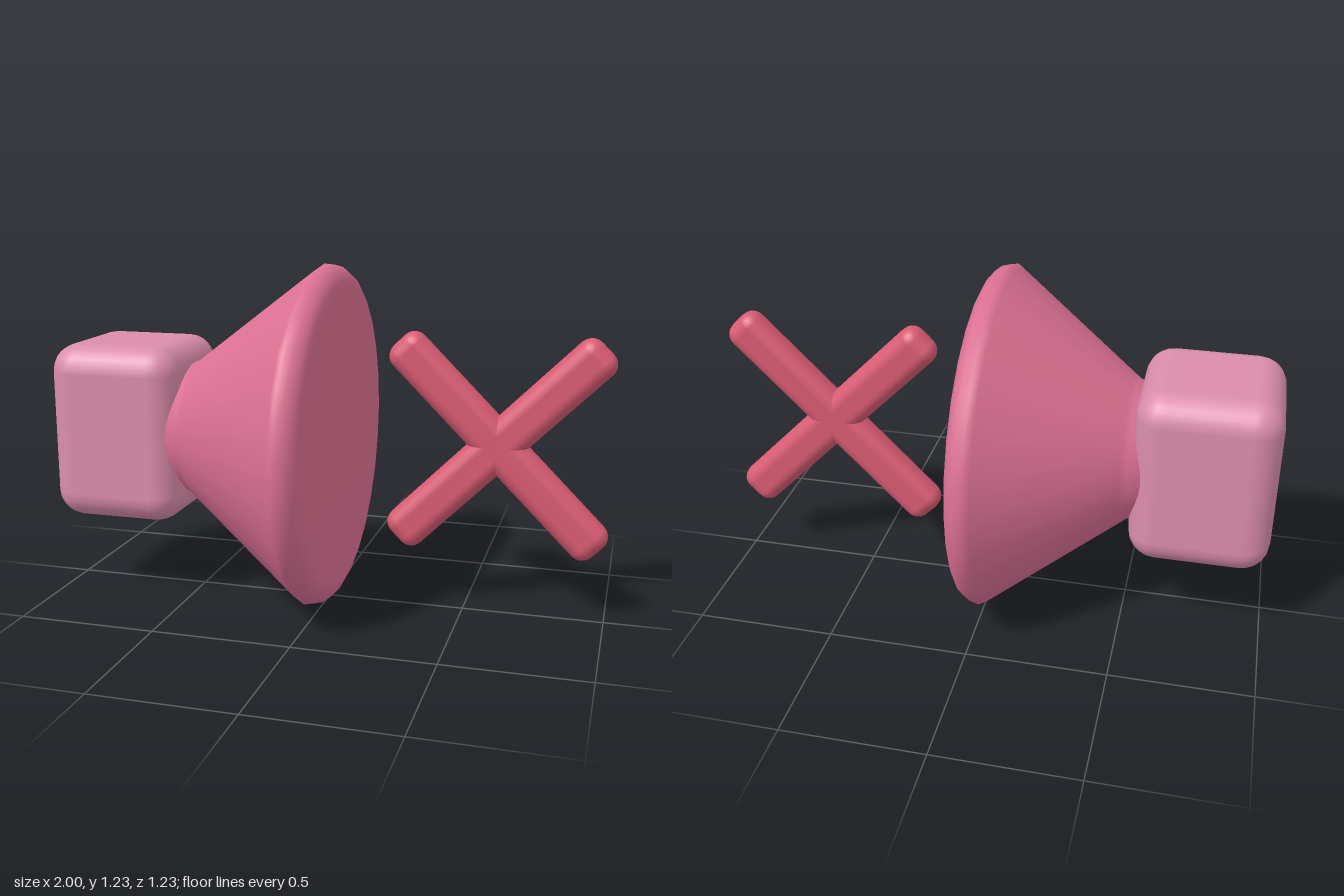
import * as THREE from 'three';
import { RoundedBoxGeometry } from 'three/addons/geometries/RoundedBoxGeometry.js';

const mat = (name, color) => {
  const m = new THREE.MeshStandardMaterial({ color });
  m.name = name;
  return m;
};

export function createModel() {
  const group = new THREE.Group();
  group.name = 'mutedSpeaker';
  const midY = 0.618;

  const add = (name, geometry, material, x) => {
    const mesh = new THREE.Mesh(geometry, material);
    mesh.name = name;
    mesh.position.set(x, midY, 0);
    group.add(mesh);
    return mesh;
  };

  // Rounded block behind the horn
  add('speakerBase', new RoundedBoxGeometry(0.49, 0.644, 0.516, 3, 0.1),
    mat('light pink', 0xdb8dab), -0.755);

  // Horn: profile of [radius, x] turned about the x axis
  const profile = [
    [0, -0.6], [0.16, -0.6], [0.2, -0.585], [0.235, -0.55], [0.25, -0.5],
    [0.265, -0.48], [0.6, -0.043], [0.617, -0.02], [0.609, 0.012],
    [0.59, 0.036], [0.565, 0.049], [0.54, 0.052], [0, 0.052],
  ].map(([r, y]) => new THREE.Vector2(r, y));
  const horn = add('horn', new THREE.LatheGeometry(profile, 28), mat('rose pink', 0xdb7093), 0);
  horn.rotation.z = -Math.PI / 2;

  // Two crossed bars in front of the horn
  const red = mat('coral red', 0xd95b73);
  const barGeometry = new RoundedBoxGeometry(1.01, 0.153, 0.11, 3, 0.05);
  for (const [name, side] of [['risingBar', 1], ['fallingBar', -1]]) {
    add(name, barGeometry, red, 0.61).rotation.z = side * Math.PI / 4;
  }

  return group;
}
